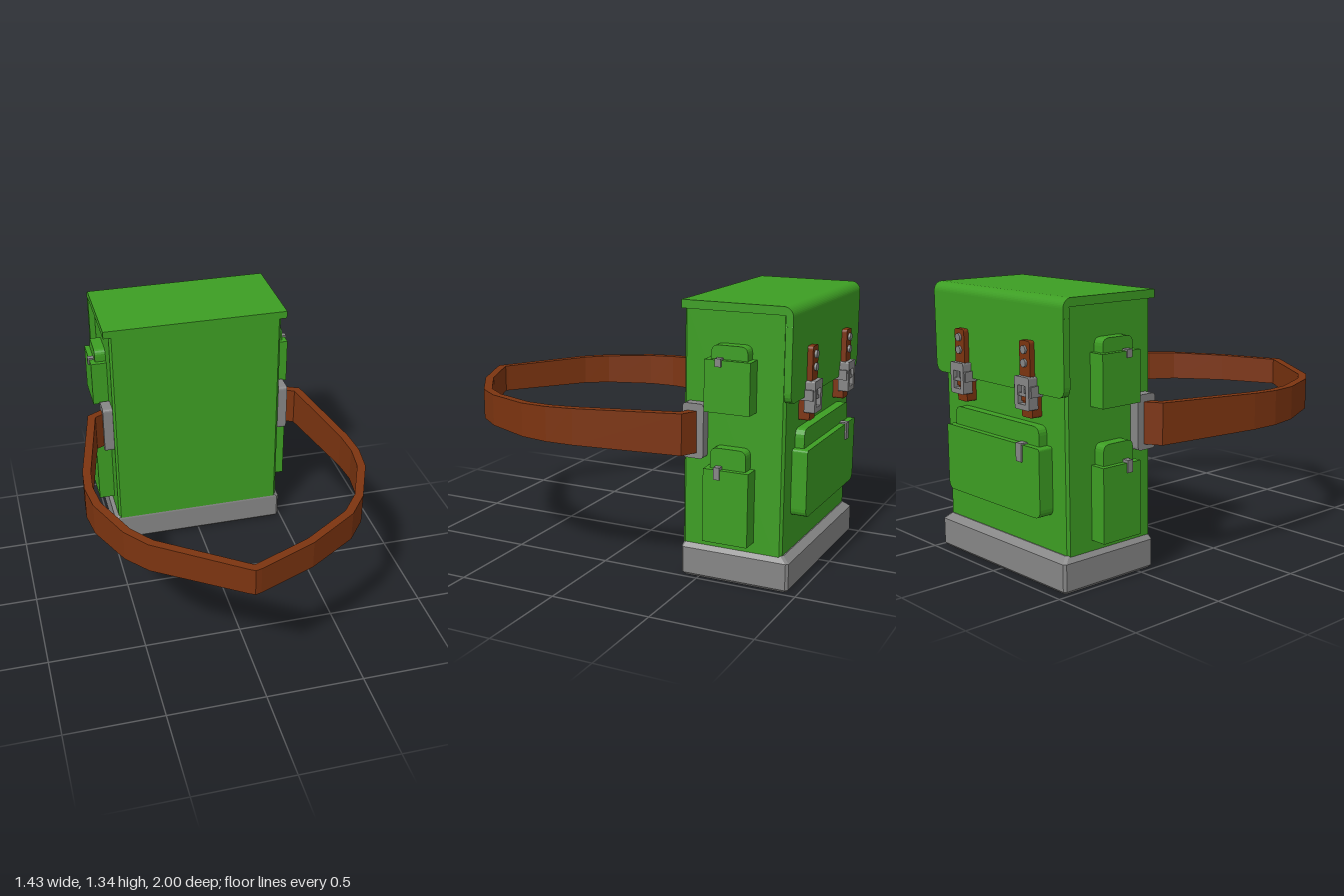
import * as THREE from 'three';

const std = (name, color) => Object.assign(new THREE.MeshStandardMaterial({ color }), { name });

export function createModel() {
  const model = new THREE.Group();
  model.name = 'backpack';
  const green = std('green canvas', 0x3d9e23);
  const brown = std('brown leather', 0x7c3410);
  const gray = std('gray metal', 0x868686);

  const add = (parent, name, geometry, material) => {
    const mesh = new THREE.Mesh(geometry, material);
    mesh.name = name;
    parent.add(mesh);
    return mesh;
  };

  // Closed skin through rings of equal point count; ends capped or joined as fans
  const skin = (rings) => {
    const n = rings[0].length, pos = [];
    const tri = (...p) => p.forEach((v) => pos.push(...v));
    for (let i = 0; i + 1 < rings.length; i++) {
      for (let j = 0; j < n; j++) {
        const a = rings[i][j], b = rings[i][(j + 1) % n];
        const c = rings[i + 1][(j + 1) % n], d = rings[i + 1][j];
        tri(a, c, b, a, d, c);
      }
    }
    const first = rings[0], last = rings[rings.length - 1];
    for (let j = 1; j + 1 < n; j++) {
      tri(first[0], first[j], first[j + 1]);
      tri(last[0], last[j + 1], last[j]);
    }
    const g = new THREE.BufferGeometry();
    g.setAttribute('position', new THREE.Float32BufferAttribute(pos, 3));
    g.computeVertexNormals();
    return g;
  };

  // Horizontal chamfered rectangle: half width, back z, front z, height, chamfer
  const ring = (w, zb, zf, y, c) => [
    [-w + c, y, zb], [w - c, y, zb], [w, y, zb + c], [w, y, zf - c],
    [w - c, y, zf], [-w + c, y, zf], [-w, y, zf - c], [-w, y, zb + c],
  ];

  // Upright plate with rounded top and bottom corners, thick towards +z
  const outline = (w, y0, y1, rt, rb) => {
    const s = new THREE.Shape();
    s.moveTo(-w + rb, y0);
    s.lineTo(w - rb, y0);
    s.quadraticCurveTo(w, y0, w, y0 + rb);
    s.lineTo(w, y1 - rt);
    s.quadraticCurveTo(w, y1, w - rt, y1);
    s.lineTo(-w + rt, y1);
    s.quadraticCurveTo(-w, y1, -w, y1 - rt);
    s.lineTo(-w, y0 + rb);
    s.quadraticCurveTo(-w, y0, -w + rb, y0);
    return s;
  };
  const extrude = (shape, z0, z1) =>
    new THREE.ExtrudeGeometry(shape, { depth: z1 - z0, bevelEnabled: false, curveSegments: 5 }).translate(0, 0, z0);
  const plate = (w, y0, y1, z0, z1, rt = 0.001, rb = 0.001) => extrude(outline(w, y0, y1, rt, rb), z0, z1);
  const box = (x0, x1, y0, y1, z0, z1) =>
    new THREE.BoxGeometry(x1 - x0, y1 - y0, z1 - z0).translate((x0 + x1) / 2, (y0 + y1) / 2, (z0 + z1) / 2);

  // Body and metal base
  add(model, 'body', skin([ring(0.465, -0.915, -0.412, 0.1, 0.012), ring(0.465, -0.915, -0.412, 1.31, 0.012)]), green);
  add(model, 'base', skin([
    ring(0.473, -0.943, -0.422, 0, 0.012), ring(0.485, -0.955, -0.41, 0.014, 0.012),
    ring(0.485, -0.955, -0.41, 0.143, 0.012), ring(0.46, -0.92, -0.416, 0.17, 0.012),
  ]), gray);

  // Lid: side profile (u = -z) swept across the width
  const lid = new THREE.Shape();
  lid.moveTo(0.41, 1.30);
  lid.lineTo(0.915, 1.30);
  lid.lineTo(0.915, 1.25);
  lid.lineTo(0.95, 1.25);
  lid.lineTo(0.95, 1.295);
  lid.absarc(0.905, 1.295, 0.045, 0, Math.PI / 2, false);
  lid.lineTo(0.41, 1.34);
  add(model, 'lid', extrude(lid, -0.495, 0.495).rotateY(Math.PI / 2), green);

  // Back face, local +z pointing backwards
  const back = new THREE.Group();
  back.name = 'backDetails';
  back.rotation.y = Math.PI;
  model.add(back);
  add(back, 'lidFlap', plate(0.495, 0.90, 1.25, 0.915, 0.95, 0.001, 0.05), green);
  add(back, 'backPocket', plate(0.36, 0.335, 0.66, 0.9, 0.99, 0.012, 0.04), green);
  add(back, 'backPocketTop', plate(0.325, 0.6, 0.75, 0.9, 0.96, 0.04), green);
  add(back, 'backPocketClip', box(0.2, 0.24, 0.58, 0.667, 0.94, 0.998), gray);

  // Buckled closing straps
  for (const s of [-1, 1]) {
    const buckle = new THREE.Group();
    buckle.name = 'buckle';
    buckle.position.x = s * 0.253;
    back.add(buckle);
    add(buckle, 'upperStrap', plate(0.038, 0.86, 1.135, 0.945, 0.976, 0.015), brown);
    add(buckle, 'lowerStrap', plate(0.038, 0.785, 0.9, 0.91, 0.968, 0.001, 0.01), brown);
    for (const y of [1.095, 1.035]) {
      add(buckle, 'rivet', new THREE.CylinderGeometry(0.019, 0.019, 0.02, 12)
        .rotateX(Math.PI / 2).translate(0, y, 0.977), gray);
    }
    const frame = outline(0.052, 0.825, 0.975, 0.008, 0.008);
    const hole = new THREE.Path();
    hole.setFromPoints([[-0.028, 0.85], [-0.028, 0.935], [0.028, 0.935], [0.028, 0.85]]
      .map(([x, y]) => new THREE.Vector2(x, y)));
    frame.holes.push(hole);
    add(buckle, 'buckleFrame', extrude(frame, 0.945, 0.997), gray);
    add(buckle, 'bucklePin', box(-0.009, 0.009, 0.885, 0.95, 0.96, 0.99), gray);
    add(buckle, 'buckleBar', box(-0.03, 0.03, 0.885, 0.9, 0.96, 0.99), gray);
    for (const e of [-1, 1]) {
      add(buckle, 'buckleEar', box(e * 0.054 - 0.008, e * 0.054 + 0.008, 0.885, 0.935, 0.925, 0.99), gray);
    }
  }

  // Side pockets and strap brackets, local +z pointing outwards
  for (const s of [-1, 1]) {
    const side = new THREE.Group();
    side.name = s > 0 ? 'leftSide' : 'rightSide';
    side.rotation.y = s * Math.PI / 2;
    side.position.z = -0.6625;
    model.add(side);
    for (const [y0, y1, top, clip0, clip1] of [[0.215, 0.57, 0.668, 0.525, 0.584], [0.84, 1.085, 1.15, 1.055, 1.093]]) {
      add(side, 'sidePocket', plate(0.1125, y0, y1, 0.45, 0.549), green);
      add(side, 'sidePocketTop', plate(0.089, y1 - 0.05, top, 0.45, 0.523, 0.035), green);
      add(side, 'sidePocketClip', box(-s * 0.0425 - 0.015, -s * 0.0425 + 0.015, clip0, clip1, 0.51, 0.557), gray);
    }
    const bracket = add(side, 'strapBracket', plate(0.053, 0.603, 0.865, 0.455, 0.518, 0.018, 0.018), gray);
    bracket.position.x = -s * 0.18;
  }

  // Carrying strap: outer edge [x, z], half height tapering to the front
  const edge = [
    [-0.49, -0.515], [-0.597, -0.455], [-0.705, 0.06], [-0.717, 0.2], [-0.697, 0.346], [-0.595, 0.585],
    [-0.5, 0.703], [-0.1, 0.98], [-0.07, 0.998], [-0.04, 0.99], [0.246, 0.87], [0.495, 0.706],
    [0.592, 0.582], [0.692, 0.346], [0.711, 0.2], [0.7, 0.06], [0.6, -0.463], [0.49, -0.515],
  ].map(([x, z]) => new THREE.Vector2(x, z));
  const normal = (a, b) => new THREE.Vector2(a.y - b.y, b.x - a.x).normalize();
  const rings = edge.map((p, i) => {
    const n1 = normal(edge[Math.max(i - 1, 0)], edge[Math.max(i, 1)]);
    const n2 = normal(edge[Math.min(i, edge.length - 2)], edge[Math.min(i + 1, edge.length - 1)]);
    const m = n1.clone().add(n2).normalize();
    const q = p.clone().addScaledVector(m, -0.042 / m.dot(n1));
    const h = 0.07 + 0.03 * Math.min(1, (1 - p.y) / 1.45);
    return [[p.x, 0.73 - h, p.y], [p.x, 0.73 + h, p.y], [q.x, 0.73 + h, q.y], [q.x, 0.73 - h, q.y]];
  });
  // inner side follows from the outward normal of the path
  const strap = add(model, 'carryStrap', skin(rings), brown);
  strap.material.side = THREE.DoubleSide;

  return model;
}
